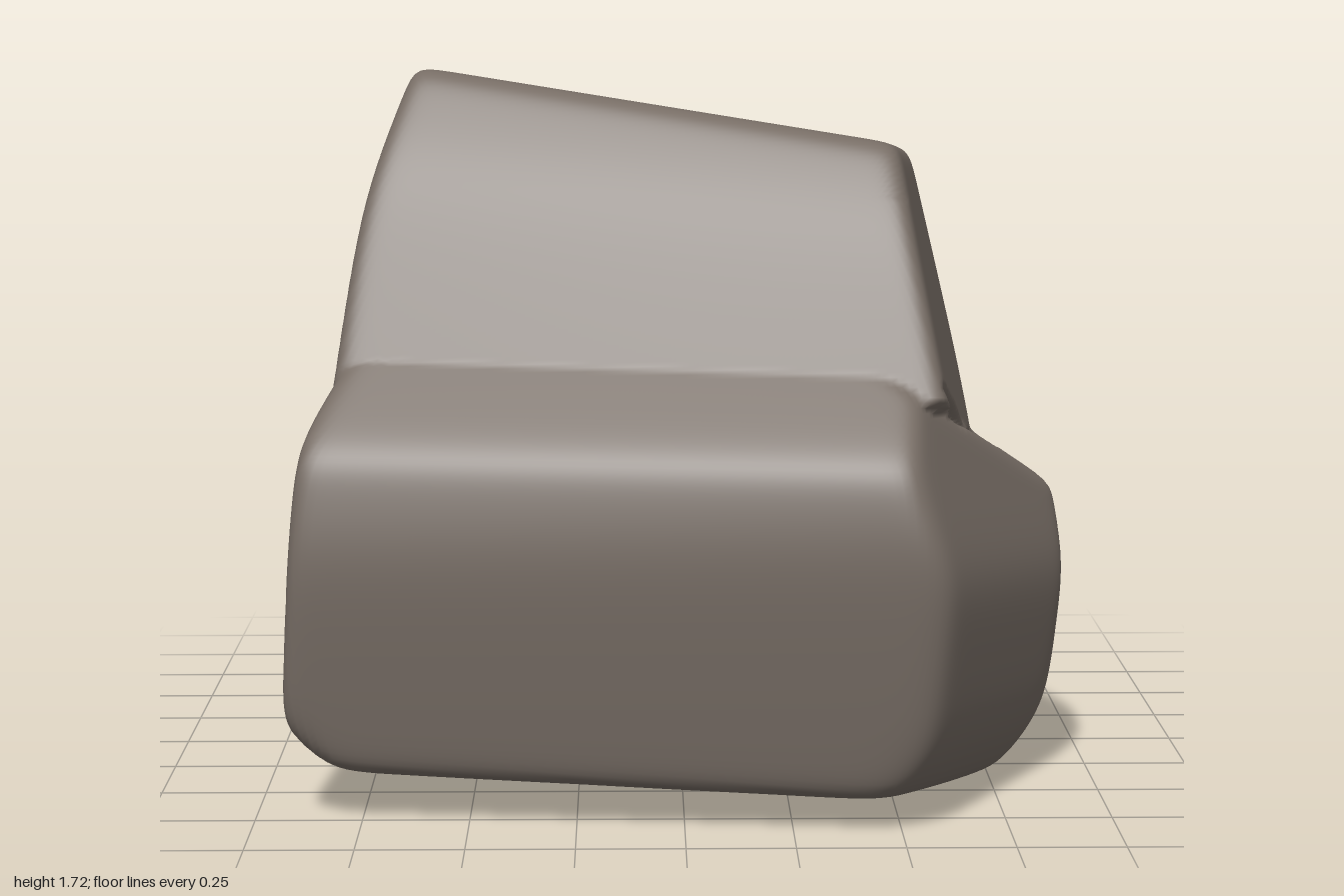
import * as THREE from 'three';
import { mergeVertices } from 'three/addons/utils/BufferGeometryUtils.js';

const V = (x, y, z) => new THREE.Vector3(x, y, z);
const CORE = V(-0.05, 0.86, 0); // every block of the boulder contains this point

// Plane through three points, facing away from the core, as normal / distance
function face(a, b, c) {
  const [p, q, r] = [a, b, c].map((k) => V(...k).sub(CORE));
  const n = q.sub(p).cross(r.sub(p)).normalize();
  return n.divideScalar(n.dot(p));
}

// Faces shared by the lower blocks
const floor = [
  face([-0.78, 0.065, 0], [0.7, 0, 0], [-0.78, 0.065, 0.5]),
  face([0.6, 0, 0.4], [0.6, 0.075, 0.92], [-0.8, 0.065, 0.4]),
];
const lowerSides = [
  ...floor,
  face([-0.92, 0.25, 0.81], [0.56, 0.25, 0.96], [0.6, 0.7, 1.02]), // front
  face([0.6, 0.7, 1.02], [-0.9, 0.7, 0.85], [0.6, 0.88, 0.98]),
  face([0.6, 0.88, 0.97], [-0.88, 0.88, 0.81], [0.55, 1.02, 0.81]),
  face([0.56, 0.2, 0.955], [-0.92, 0.2, 0.81], [0.56, 0.06, 0.92]),
  face([-0.94, 0.23, 0.8], [-0.785, 0.23, -0.99], [-0.89, 0.9, 0.8]), // left
  face([-0.89, 0.9, 0.8], [-0.72, 0.9, -0.9], [-0.81, 1.03, 0.7]),
  face([-0.94, 0.23, 0.8], [-0.785, 0.23, -0.99], [-0.78, 0.07, 0.8]),
  face([-0.78, 0.2, -1.01], [0.75, 0.2, -0.91], [-0.75, 0.87, -0.91]), // back
  face([-0.75, 0.87, -0.91], [0.7, 0.85, -0.82], [-0.7, 1.0, -0.78]),
  face([-0.78, 0.2, -1.01], [0.75, 0.2, -0.91], [-0.78, 0.04, -0.9]),
  face([0.59, 0.5, 0.99], [0.94, 0.5, 0.36], [0.55, 0.2, 0.97]), // front right
  face([0.94, 0.55, 0.36], [0.62, 0.6, 0.99], [0.87, 0.75, 0.33]),
  face([0.93, 0.18, 0.36], [0.56, 0.2, 0.96], [0.76, 0, 0.35]),
  face([0, 1.3, 0], [1, 1.3, 0], [0, 1.3, 1]), // buried top
];
const frontBlock = [
  ...lowerSides,
  face([0.94, 0.5, 0.36], [0.775, 0.5, -0.15], [0.93, 0.2, 0.37]),
  face([0.93, 0.18, 0.37], [0.775, 0.14, -0.15], [0.78, 0, 0.3]),
  face([0.57, 0.98, 0.7], [0.72, 0.83, 0.2], [0.88, 0.74, 0.35]),
];
const backBlock = [
  ...lowerSides,
  face([0.78, 0.4, -0.15], [0.77, 0.4, -0.88], [0.775, 0.1, -0.15]),
  face([0.77, 0.12, 0], [0.76, 0.12, -0.8], [0.71, 0, -0.4]),
  face([0.78, 0.57, -0.4], [0.78, 0.75, -0.8], [0.68, 0.88, -0.75]),
];
const upperRight = [
  face([0.52, 1.52, 0.45], [0.59, 1.5, -0.1], [0.75, 0.8, -0.1]),
  face([0.59, 1.5, -0.1], [0.77, 0.8, -0.2], [0.575, 1.5, -0.55]),
  face([0.76, 0.85, -0.35], [0.67, 0.9, -0.7], [0.58, 1.5, -0.5]),
  face([0.75, 0.85, -0.15], [0.78, 0.2, -0.15], [0.74, 0.6, -0.6]),
];
const upperBack = face([-0.66, 1.03, -0.79], [0.68, 1.03, -0.76], [-0.54, 1.6, -0.6]);
const upperBlock = [
  ...upperRight,
  upperBack,
  face([-0.82, 1.03, 0.65], [-0.67, 1.03, -0.8], [-0.77, 1.4, 0.5]), // left
  face([-0.76, 1.45, 0.5], [-0.63, 1.45, -0.66], [-0.66, 1.7, 0.3]),
  face([-0.8, 1.05, 0.62], [0.57, 1.03, 0.79], [-0.7, 1.42, 0.47]), // front
  face([-0.6, 1.5, 0.45], [0.5, 1.42, 0.61], [-0.6, 1.68, 0.31]),
  face([-0.55, 1.66, -0.5], [-0.6, 1.72, 0.2], [0.53, 1.52, 0]), // top
  face([0, 0.97, 0.76], [1, 0.97, 0.76], [0, 0.75, 0]), // underside
  face([0, 0.7, 0], [1, 0.7, 0], [0, 0.7, 1]),
];
// Middle of the right side, running from the upper block to the ground
const spine = [
  ...upperRight,
  upperBack,
  ...floor,
  face([0.77, 0.12, 0], [0.76, 0.12, -0.8], [0.71, 0, -0.4]),
  face([0.7, 0.92, -0.72], [0.77, 0.56, -0.37], [0, 0.92, -0.72]),
  face([0, 0, 0.3], [1, 0, 0.3], [0, 1, 0.3]),
  face([-0.5, 0, 0], [-0.5, 1, 0], [-0.5, 0, 1]),
  face([0, 1.4, 0], [1, 1.4, 0], [0, 1.4, 1]),
];
const blocks = [frontBlock, backBlock, upperBlock, spine];

// Distance from the core to the surface: rounded convex blocks, joined
const SHARP = 45;
function reach(dir) {
  return Math.max(...blocks.map((planes) => {
    const k = planes.map((n) => Math.max(0, n.dot(dir)));
    const top = Math.max(...k);
    let sum = 0;
    for (const v of k) sum += (v / top) ** SHARP;
    return 1 / (top * sum ** (1 / SHARP));
  }));
}

// Cracks: [width, depth, path]; paths are projected onto the surface
const cracks = [
  [0.045, 0.05, [[0.58, 1.02, 0.74], [0.62, 0.94, 0.62], [0.68, 0.85, 0.38], [0.74, 0.8, 0.12], [0.77, 0.74, 0.02], [0.79, 0.6, -0.03], [0.78, 0.44, -0.1]]],
  [0.04, 0.05, [[0.62, 1.2, -0.62], [0.68, 0.98, -0.7], [0.7, 0.86, -0.69], [0.74, 0.74, -0.57], [0.77, 0.6, -0.38], [0.77, 0.4, -0.34], [0.77, 0.25, -0.31], [0.77, 0.17, -0.23]]],
  [0.035, 0.06, [[0.1, 1.6, -0.18], [0.35, 1.56, -0.15], [0.57, 1.51, -0.1], [0.6, 1.42, -0.11], [0.65, 1.25, -0.15], [0.69, 1.09, -0.1]]],
  [0.035, 0.05, [[0.7, 1.05, -0.36], [0.67, 1.1, -0.5], [0.62, 1.21, -0.62], [0.56, 1.17, -0.7], [0.42, 1.08, -0.74]]],
];
function crackSamples() {
  const out = [];
  for (const [width, depth, path] of cracks) {
    const last = path.length - 1;
    for (let i = 0; i < last; i++) {
      const a = V(...path[i]), b = V(...path[i + 1]);
      const steps = Math.ceil(a.distanceTo(b) / 0.012);
      for (let s = 0; s < steps; s++) {
        const t = (i + s / steps) / last;
        const taper = Math.min(1, 0.3 + 3 * Math.min(t, 1 - t));
        const d = a.clone().lerp(b, s / steps).sub(CORE).normalize();
        out.push({ p: d.clone().multiplyScalar(reach(d)), w: width * taper, d: depth * taper });
      }
    }
  }
  return out;
}

function boulderGeometry() {
  let g = new THREE.BoxGeometry(2, 2, 2, 106, 106, 106);
  g.deleteAttribute('uv');
  g.deleteAttribute('normal');
  g.clearGroups();
  g = mergeVertices(g, 1e-4);
  const pos = g.attributes.position, dir = V(0, 0, 0), hit = V(0, 0, 0);
  const samples = crackSamples();
  const even = (v) => Math.tan(v * Math.PI / 4);
  for (let i = 0; i < pos.count; i++) {
    dir.set(even(pos.getX(i)), even(pos.getY(i)), even(pos.getZ(i))).normalize();
    const r = reach(dir);
    hit.copy(dir).multiplyScalar(r);
    let cut = 0;
    for (const s of samples) cut = Math.max(cut, s.d * (1 - hit.distanceTo(s.p) / s.w));
    hit.copy(dir).multiplyScalar(r - cut).add(CORE);
    pos.setXYZ(i, hit.x, Math.max(0, hit.y), hit.z);
  }
  g.computeVertexNormals();
  return g;
}

// Grass blade: a tapered strip that bends outward toward its tip
function bladeGeometry(root, tip, width) {
  const a = V(...root), c = V(...tip);
  const curve = new THREE.QuadraticBezierCurve3(a, V(a.x * 0.6 + c.x * 0.4, a.y + (c.y - a.y) * 0.65, a.z * 0.75 + c.z * 0.25), c);
  const out = V(1, 0, -0.35).normalize(), points = [], index = [], N = 6;
  for (let i = 0; i <= N; i++) {
    const t = i / N, p = curve.getPoint(t);
    const side = curve.getTangent(t).cross(out).normalize().multiplyScalar(width / 2 * (1 - t ** 1.8));
    points.push(p.clone().add(side), p.clone().sub(side));
    if (i < N) index.push(2 * i, 2 * i + 1, 2 * i + 2, 2 * i + 1, 2 * i + 3, 2 * i + 2);
  }
  const g = new THREE.BufferGeometry().setFromPoints(points);
  g.setIndex(index);
  g.computeVertexNormals();
  return g;
}

export function createModel() {
  const stone = new THREE.MeshStandardMaterial({ name: 'stone', color: 0x776d65 });
  const leaf = new THREE.MeshStandardMaterial({ name: 'grassGreen', color: 0x829848, side: THREE.DoubleSide });
  const model = new THREE.Group();
  model.name = 'boulderWithGrass';

  const boulder = new THREE.Mesh(boulderGeometry(), stone);
  boulder.name = 'boulder';
  model.add(boulder);

  const grass = new THREE.Group();
  grass.name = 'grassTuft';
  const blades = [
    [[0.77, 0.05, -0.61], [0.8, 0.12, -0.48], 0.07],
    [[0.775, 0.05, -0.65], [0.84, 0.21, -0.56], 0.09],
    [[0.78, 0.05, -0.7], [0.82, 0.28, -0.66], 0.1],
    [[0.785, 0.05, -0.75], [0.795, 0.39, -0.8], 0.13],
    [[0.78, 0.05, -0.81], [0.785, 0.22, -0.92], 0.1],
    [[0.77, 0.05, -0.86], [0.66, 0.16, -1.0], 0.1],
    [[0.74, 0.05, -0.91], [0.57, 0.12, -0.94], 0.08],
  ];
  for (const b of blades) {
    const blade = new THREE.Mesh(bladeGeometry(...b), leaf);
    blade.name = 'grassBlade';
    grass.add(blade);
  }
  model.add(grass);
  return model;
}
